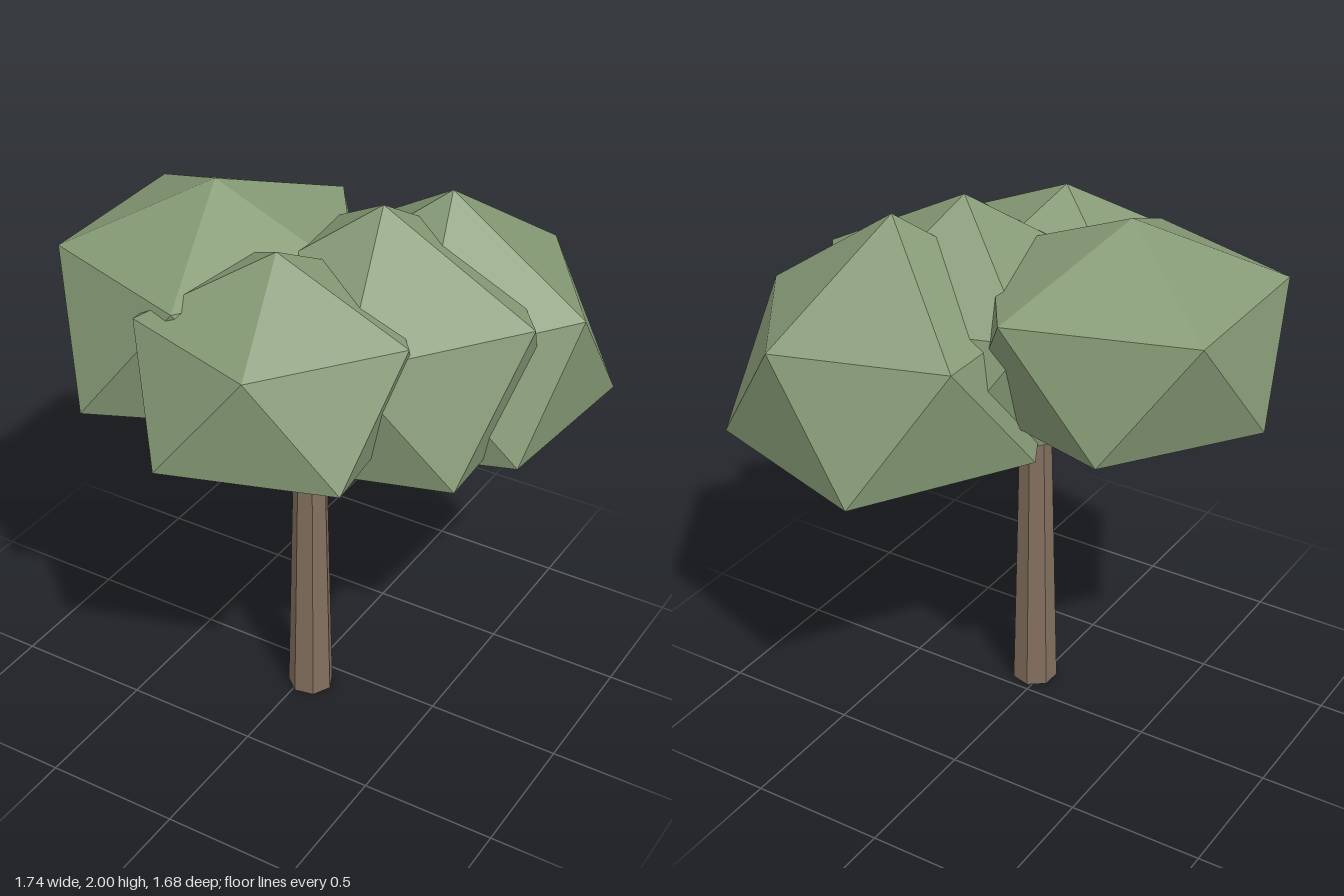
import * as THREE from 'three';

const leafMaterial = new THREE.MeshStandardMaterial({ color: 0x869a76, flatShading: true });
leafMaterial.name = 'leaf green';
const barkMaterial = new THREE.MeshStandardMaterial({ color: 0x836f5e, flatShading: true });
barkMaterial.name = 'bark brown';

// Ring vertices sit every 72 degrees; their height above or below the centre follows their reach.
const RISE = 0.4;

// Irregular, slightly squashed icosahedron: two poles and two staggered rings of five.
function foliageGeometry({ top, bottom, upper, lower }) {
  const points = [0, top, 0, 0, -bottom, 0];
  const addRing = (radii, side, offset) => radii.forEach((r, i) => {
    const a = (i * 72 + offset) * Math.PI / 180;
    points.push(r * Math.cos(a), side * RISE * r, r * Math.sin(a));
  });
  addRing(upper, 1, 0);
  addRing(lower, -1, 36);

  const faces = [];
  for (let i = 0; i < 5; i++) {
    const j = (i + 1) % 5;
    const u0 = 2 + i, u1 = 2 + j, l0 = 7 + i, l1 = 7 + j;
    faces.push(0, u1, u0, u0, u1, l0, u1, l1, l0, 1, l0, l1);
  }
  const indexed = new THREE.BufferGeometry();
  indexed.setAttribute('position', new THREE.Float32BufferAttribute(points, 3));
  indexed.setIndex(faces);
  const geometry = indexed.toNonIndexed();
  geometry.computeVertexNormals();
  return geometry;
}

// Radii run from +x towards +z.
const clumps = [
  { name: 'rightFoliage', at: [-0.35, 1.557, 0.09], top: 0.443, bottom: 0.465,
    upper: [0.55, 0.54, 0.536, 0.544, 0.574], lower: [0.55, 0.6, 0.52, 0.525, 0.55] },
  { name: 'frontFoliage', at: [0.05, 1.538, 0.34], top: 0.407, bottom: 0.408,
    upper: [0.49, 0.443, 0.466, 0.46, 0.46], lower: [0.522, 0.525, 0.45, 0.46, 0.46] },
  { name: 'backFoliage', at: [0.36, 1.43, -0.27], top: 0.557, bottom: 0.5,
    upper: [0.51, 0.54, 0.55, 0.55, 0.525], lower: [0.55, 0.56, 0.56, 0.6, 0.605] },
  { name: 'middleFoliage', at: [0.23, 1.469, -0.03], top: 0.531, bottom: 0.495,
    upper: [0.57, 0.56, 0.55, 0.55, 0.54], lower: [0.588, 0.58, 0.56, 0.56, 0.56] },
];

export function createModel() {
  const tree = new THREE.Group();
  tree.name = 'tree';

  // Tapered seven-sided trunk
  const height = 1.065;
  const trunk = new THREE.Mesh(new THREE.CylinderGeometry(0.06, 0.085, height, 7), barkMaterial);
  trunk.name = 'trunk';
  trunk.position.set(0.032, height / 2, 0.107);
  trunk.rotation.y = -0.255;
  tree.add(trunk);

  // Overlapping foliage clumps
  for (const clump of clumps) {
    const mesh = new THREE.Mesh(foliageGeometry(clump), leafMaterial);
    mesh.name = clump.name;
    mesh.position.set(...clump.at);
    tree.add(mesh);
  }
  return tree;
}
